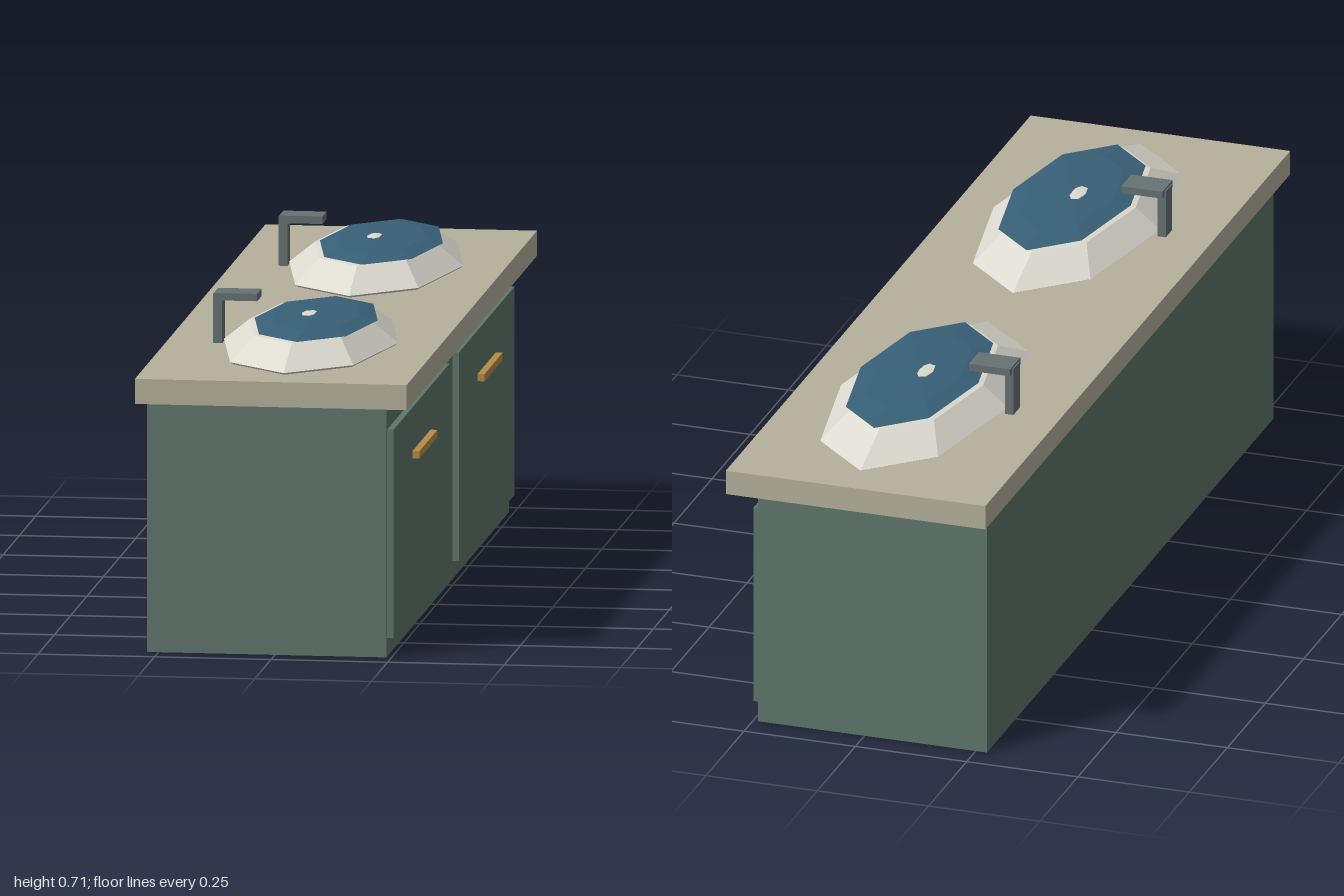
import * as THREE from 'three';

const mat = (color, flatShading = false) => new THREE.MeshStandardMaterial({ color, flatShading });

// Box given by its extents on each axis
function box(name, material, [x0, x1], [y0, y1], [z0, z1]) {
  const mesh = new THREE.Mesh(new THREE.BoxGeometry(x1 - x0, y1 - y0, z1 - z0), material);
  mesh.position.set((x0 + x1) / 2, (y0 + y1) / 2, (z0 + z1) / 2);
  mesh.name = name;
  return mesh;
}

// Eight-sided low-poly ellipsoid
function ellipsoid(name, material, [rx, ry, rz], [x, y, z]) {
  const geometry = new THREE.SphereGeometry(1, 8, 4);
  geometry.scale(rx, ry, rz);
  const mesh = new THREE.Mesh(geometry, material);
  mesh.position.set(x, y, z);
  mesh.name = name;
  return mesh;
}

export function createModel() {
  const model = new THREE.Group();
  model.name = 'doubleVanity';

  const green = mat(0x5f776b);
  const stone = mat(0xb5b19c);
  const brass = mat(0xb58b4a);
  const metal = mat(0x667273);
  const ceramic = mat(0xdddbd0, true);
  const water = mat(0x386078, true);

  model.add(box('cabinet', green, [-0.275, 0.239], [0, 0.545], [-0.94, 0.94]));
  model.add(box('countertop', stone, [-0.292, 0.291], [0.544, 0.598], [-1, 1]));

  // One door, handle, basin and faucet per half
  for (const [side, c] of [['Front', 0.5], ['Back', -0.5]]) {
    const span = (half) => [c - half, c + half];
    model.add(box('door' + side, green, [0.238, 0.253], [0.04, 0.489], span(0.428)));
    model.add(box('handle' + side, brass, [0.253, 0.268], [0.379, 0.395], span(0.138)));

    const sink = new THREE.Group();
    sink.name = 'sink' + side;
    sink.add(ellipsoid('basin', ceramic, [0.187, 0.0624, 0.42], [0.016, 0.604, c]));
    sink.add(ellipsoid('bowlSurface', water, [0.132, 0.0138, 0.298], [0.027, 0.6512, c]));
    model.add(sink);

    const faucet = new THREE.Group();
    faucet.name = 'faucet' + side;
    faucet.add(box('faucetPost', metal, [-0.191, -0.172], [0.597, 0.704], span(0.021)));
    faucet.add(box('faucetSpout', metal, [-0.188, -0.095], [0.692, 0.708], span(0.033)));
    model.add(faucet);
  }
  return model;
}
